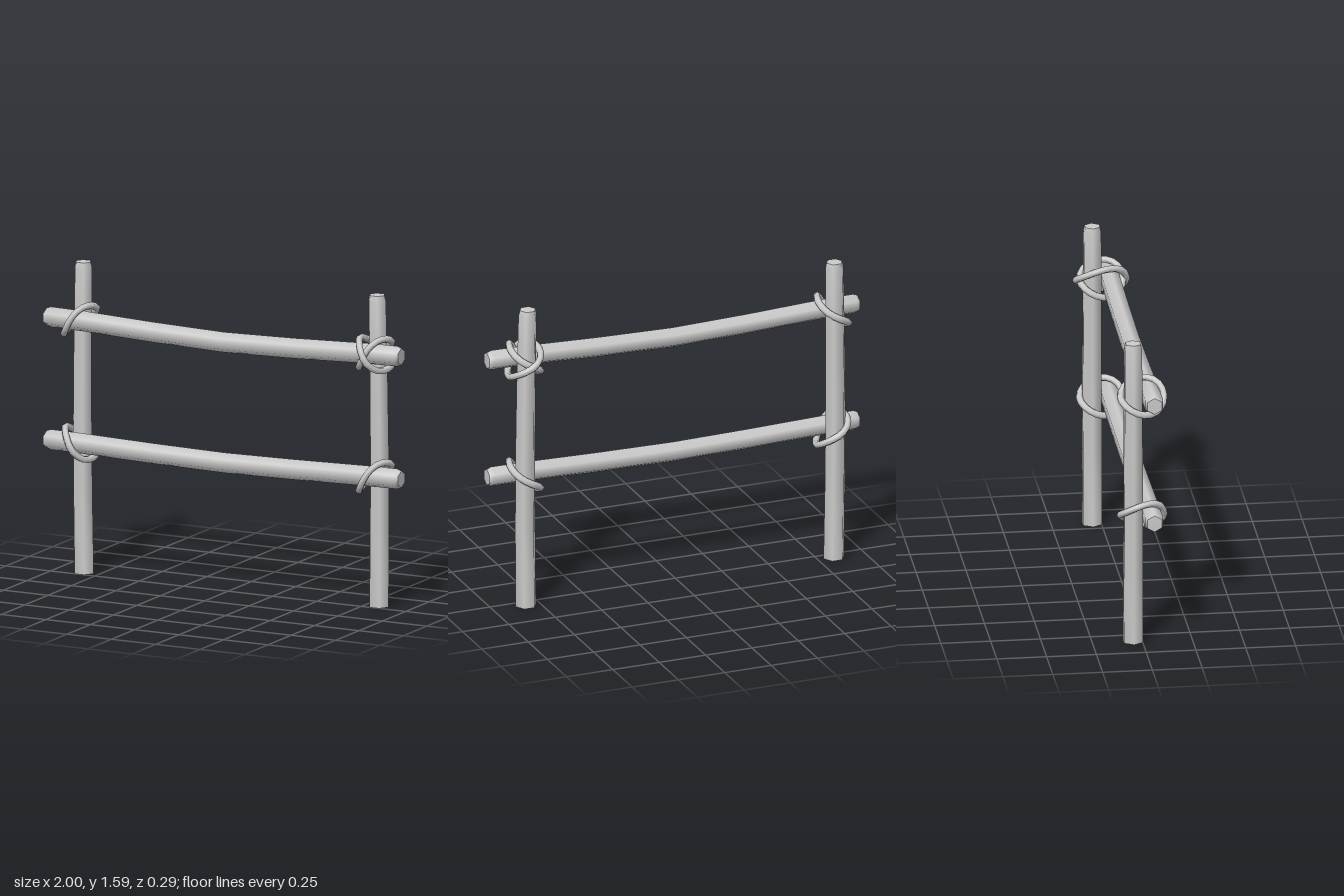
import * as THREE from 'three';
import { toCreasedNormals } from 'three/addons/utils/BufferGeometryUtils.js';

const material = new THREE.MeshStandardMaterial({ color: 0xcccccc });

// Six-sided pole turned from a [radius, height] profile
function pole(profile) {
  const points = profile.map(([r, y]) => new THREE.Vector2(r, y));
  return new THREE.LatheGeometry(points, 6, Math.PI / 6);
}

// Move every vertex by a rule
function bend(geometry, rule) {
  const pos = geometry.attributes.position;
  const v = new THREE.Vector3();
  for (let i = 0; i < pos.count; i++) {
    rule(v.fromBufferAttribute(pos, i));
    pos.setXYZ(i, v.x, v.y, v.z);
  }
  return toCreasedNormals(geometry, 1.1);
}

function addMesh(group, geometry, name) {
  const mesh = new THREE.Mesh(geometry, material);
  mesh.name = name;
  group.add(mesh);
  return mesh;
}

// Upright post, open underneath, slightly bowed and leaning
function post(bow, lean) {
  const geometry = pole([
    [0.055, 0], [0.054, 0.4], [0.053, 0.8], [0.051, 1.2], [0.049, 1.56], [0.042, 1.588], [0, 1.59],
  ]);
  return bend(geometry, (v) => {
    const t = v.y / 1.59;
    v.x += bow * Math.sin(Math.PI * t) + lean * t;
  });
}

// Horizontal rail sagging towards the middle
function rail(sag) {
  const profile = [[0, -1], [0.043, -0.999], [0.052, -0.975]];
  for (const x of [-0.8, -0.4, 0, 0.4, 0.8]) profile.push([0.052, x]);
  profile.push([0.052, 0.975], [0.043, 0.999], [0, 1]);
  const geometry = pole(profile).rotateZ(-Math.PI / 2);
  return bend(geometry, (v) => {
    v.y -= sag * (0.5 + 0.5 * Math.cos(Math.PI * v.x));
  });
}

// Rope loop lying on a diagonal: steeper around the rail, flatter around the post
function ropeLoop(slope, depth) {
  const points = [];
  for (let i = 0; i < 12; i++) {
    const t = (i / 12) * Math.PI * 2;
    const angle = Math.PI / 4 + 0.3 * Math.sin(t);
    const reach = 0.104 * Math.cos(t);
    points.push(new THREE.Vector3(
      slope * reach * Math.cos(angle), reach * Math.sin(angle), depth * Math.sin(t)));
  }
  const path = new THREE.CatmullRomCurve3(points, true);
  return new THREE.TubeGeometry(path, 20, 0.018, 6, true);
}

export function createModel() {
  const group = new THREE.Group();
  group.name = 'fence';

  // Posts
  addMesh(group, post(-0.008, -0.003), 'rightPost').position.set(-0.835, 0, -0.046);
  addMesh(group, post(0.008, -0.01), 'leftPost').position.set(0.825, 0, -0.046);

  // Rails
  addMesh(group, rail(0.029), 'upperRail').position.set(0, 1.308, 0.043);
  addMesh(group, rail(0.018), 'lowerRail').position.set(0, 0.682, 0.043);

  // Rope lashings: name, x, y, diagonal direction, depth
  const lashings = [
    ['upperRightLashing', -0.84, 1.305, 1, 0.11],
    ['lowerRightLashing', -0.835, 0.675, -1, 0.11],
    ['lowerLeftLashing', 0.82, 0.675, 1, 0.11],
    ['upperLeftLashing', 0.82, 1.305, 1, 0.11],
    ['upperLeftCrossLashing', 0.825, 1.3, -1, 0.127],
  ];
  for (const [name, x, y, slope, depth] of lashings) {
    addMesh(group, ropeLoop(slope, depth), name).position.set(x, y, 0);
  }
  return group;
}
